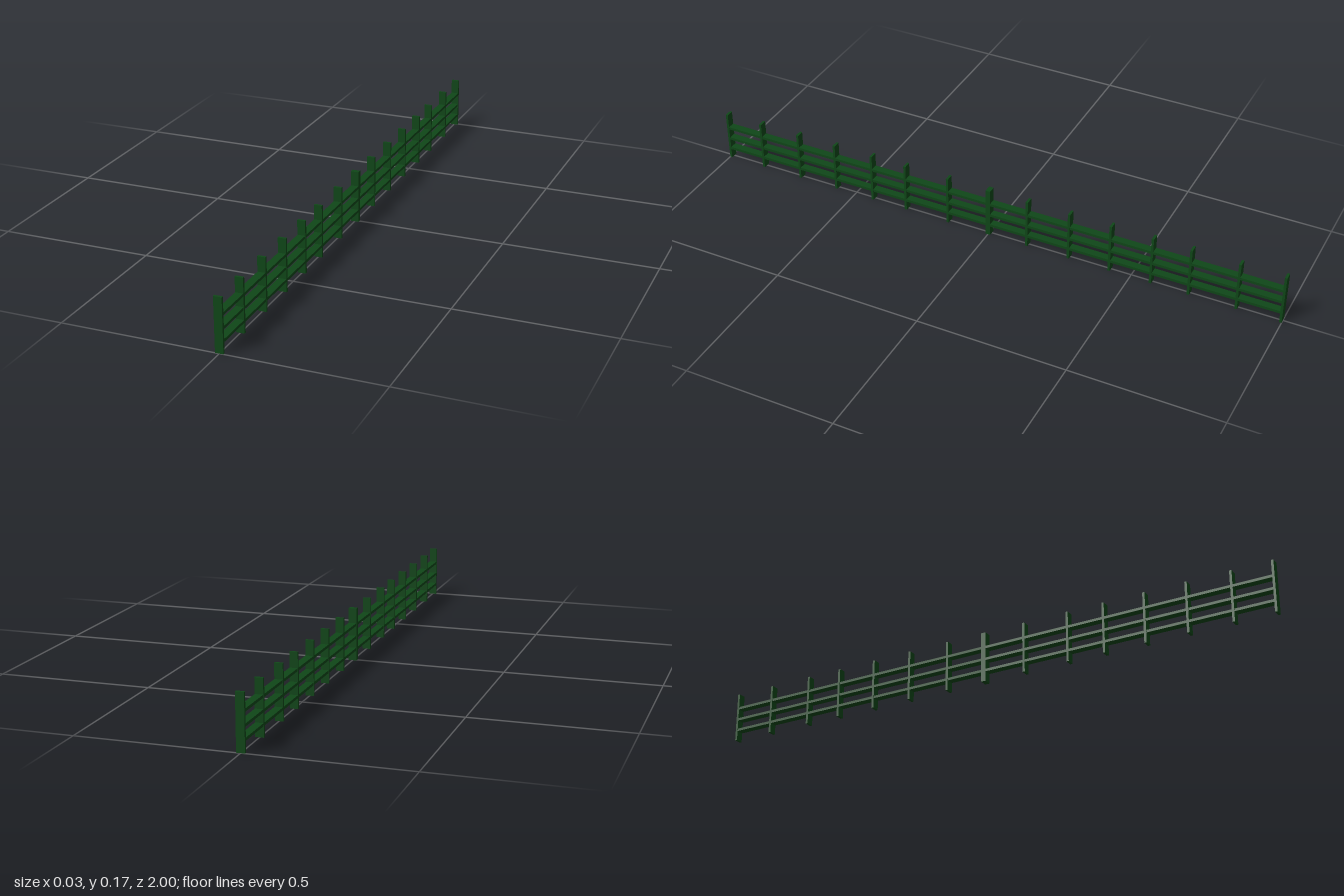
import * as THREE from 'three';

const material = new THREE.MeshStandardMaterial({ color: 0x0f4718 });

const WIDTH = 0.026;       // depth of posts across the fence
const HEIGHT = 0.173;
const POST = 0.008;        // post thickness along the fence
const RAIL = 0.009;        // rail thickness
const SECTION = 1;         // length of one fence section

function box(name, w, h, d, x, y, z) {
  const mesh = new THREE.Mesh(new THREE.BoxGeometry(w, h, d), material);
  mesh.name = name;
  mesh.position.set(x, y, z);
  return mesh;
}

// One section: slightly uneven posts joined by three flat rails
function fenceSection(name) {
  const section = new THREE.Group();
  section.name = name;
  const posts = [POST / 2, 0.138, 0.285, 0.427, 0.568, 0.695, 0.852, SECTION - POST / 2];
  posts.forEach((d, i) =>
    section.add(box(`post${i + 1}`, WIDTH, HEIGHT, POST, 0, HEIGHT / 2, -d)));
  const rails = { lowerRail: 0.038, middleRail: 0.078, upperRail: 0.12 };
  for (const [rail, y] of Object.entries(rails))
    section.add(box(rail, WIDTH - 0.001, RAIL, SECTION - POST, 0, y, -SECTION / 2));
  return section;
}

export function createModel() {
  const fence = new THREE.Group();
  fence.name = 'fence';
  // Two equal sections end to end, meeting in a double post at the centre
  const front = fenceSection('frontSection');
  front.position.z = SECTION;
  fence.add(front, fenceSection('backSection'));
  return fence;
}
